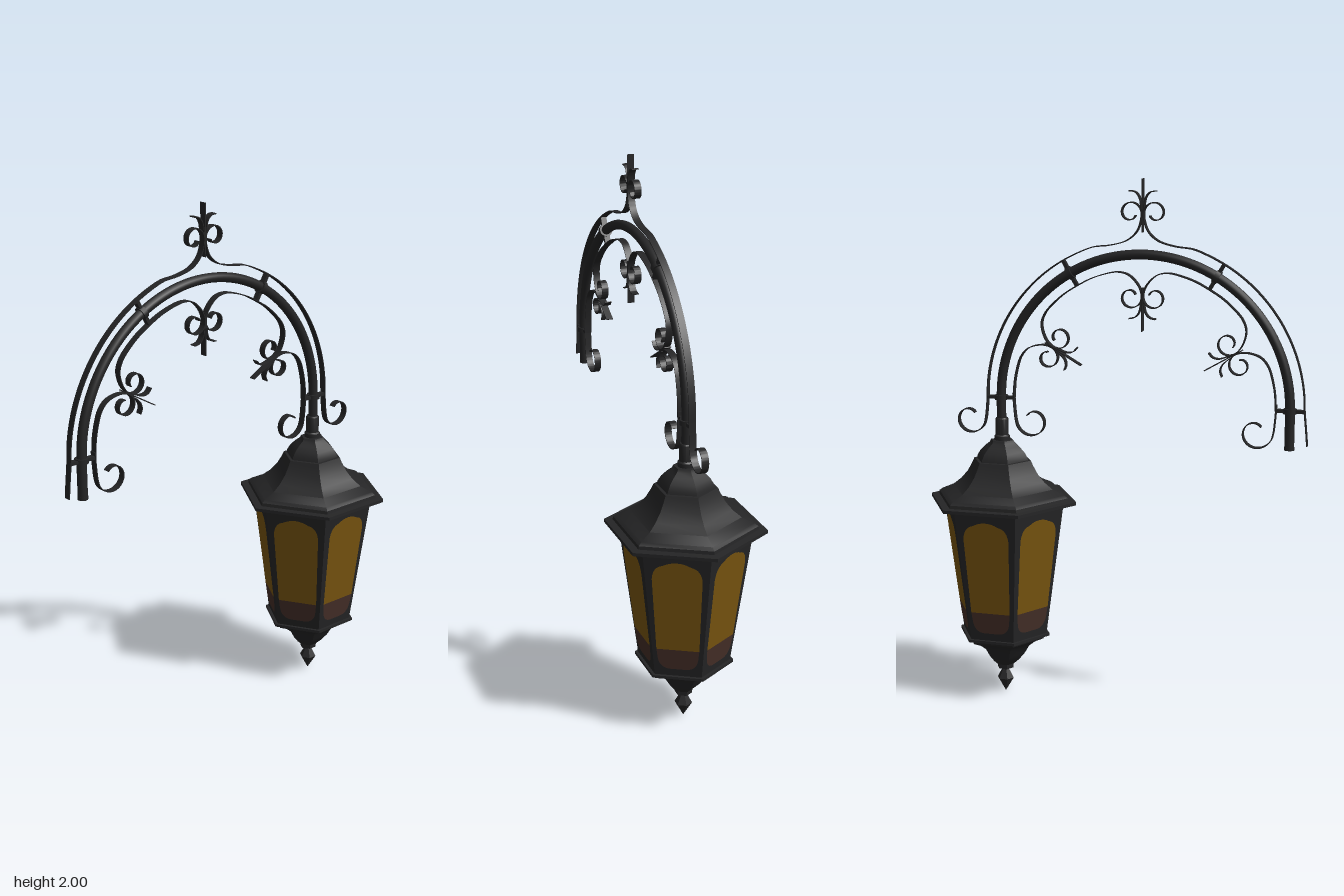
import * as THREE from 'three';
import { toCreasedNormals } from 'three/addons/utils/BufferGeometryUtils.js';

const material = (name, color) => new THREE.MeshStandardMaterial({ name, color });
const V = (x, y) => new THREE.Vector2(x, y);

export function createModel() {
  const iron = material('black iron', 0x252526);
  const amber = material('amber glass', 0x7a5610);
  const brown = material('brown lower glass', 0x452f28);

  const model = new THREE.Group();
  model.name = 'hangingLantern';
  const add = (parent, name, geometry, mat = iron) => {
    const mesh = new THREE.Mesh(geometry, mat);
    mesh.name = name;
    parent.add(mesh);
    return mesh;
  };

  // ---------- Lantern: six-sided parts with corners on the x axis ----------
  const lantern = new THREE.Group();
  lantern.name = 'lantern';
  lantern.position.x = 0.435;
  model.add(lantern);

  const hexLathe = (name, profile) => {
    const g = new THREE.LatheGeometry(profile.map(p => V(...p)), 6, Math.PI / 6);
    return add(lantern, name, toCreasedNormals(g, 0.6));
  };
  hexLathe('finial', [[0, 0.005], [0.012, 0.025], [0.033, 0.06], [0.014, 0.095],
    [0.018, 0.1], [0.032, 0.102], [0.034, 0.122], [0, 0.124]]);
  hexLathe('lowerBowl', [[0, 0.12], [0.036, 0.12], [0.058, 0.14], [0.08, 0.167], [0.098, 0.198],
    [0.122, 0.217], [0.157, 0.233], [0.162, 0.243], [0.182, 0.247], [0.182, 0.257], [0.16, 0.257]]);
  hexLathe('body', [[0.169, 0.25], [0.243, 0.78]]);
  hexLathe('roof', [[0.23, 0.775], [0.293, 0.775], [0.293, 0.787], [0.262, 0.788], [0.26, 0.8],
    [0.246, 0.81], [0.2, 0.83], [0.168, 0.855], [0.142, 0.885], [0.122, 0.92], [0.114, 0.938], [0.09, 0.94]]);
  hexLathe('roofDome', [[0.104, 0.935], [0.1, 0.95], [0.088, 0.97], [0.068, 0.99],
    [0.05, 1.004], [0.045, 1.014], [0, 1.016]]);

  const neck = [[0.03, 1.01], [0.03, 1.03], [0.025, 1.035], [0.025, 1.095], [0.022, 1.1], [0, 1.1]];
  add(lantern, 'neck', toCreasedNormals(
    new THREE.LatheGeometry(neck.map(p => V(...p)), 16), 0.6));

  // Window panes lie on the sloping body faces
  const apothem = y => 0.866 * (0.169 + (0.243 - 0.169) * (y - 0.25) / 0.53);
  const split = 0.37;
  const upper = new THREE.Shape();
  upper.moveTo(-0.077, split);
  upper.lineTo(0.077, split);
  upper.lineTo(0.089, 0.665);
  upper.quadraticCurveTo(0.086, 0.715, 0.05, 0.722);
  upper.quadraticCurveTo(0, 0.75, -0.05, 0.722);
  upper.quadraticCurveTo(-0.086, 0.715, -0.089, 0.665);
  const lower = new THREE.Shape();
  lower.moveTo(0.077, split);
  lower.lineTo(-0.077, split);
  lower.lineTo(-0.073, 0.335);
  lower.quadraticCurveTo(-0.068, 0.29, -0.03, 0.287);
  lower.lineTo(0.03, 0.287);
  lower.quadraticCurveTo(0.068, 0.29, 0.073, 0.335);
  const pane = (shape, k) => {
    const g = new THREE.ShapeGeometry(shape, 8);
    const p = g.attributes.position;
    for (let i = 0; i < p.count; i++) p.setZ(i, apothem(p.getY(i)) + 0.003);
    g.computeVertexNormals();
    return g.rotateY(k * Math.PI / 3);
  };
  for (let k = 0; k < 6; k++) {
    add(lantern, 'windowPane', pane(upper, k), amber);
    add(lantern, 'windowLowerPane', pane(lower, k), brown);
  }

  // ---------- Arched arm, measured from the centre of the arch ----------
  const arm = new THREE.Group();
  arm.name = 'arm';
  arm.position.set(-0.114, 1.178, 0);
  model.add(arm);

  const arc = (cx, cy, r0, r1, a0, a1, n) => Array.from({ length: n + 1 }, (_, i) => {
    const t = i / n, r = r0 + (r1 - r0) * t, a = a0 + (a1 - a0) * t;
    return [cx + r * Math.cos(a), cy + r * Math.sin(a)];
  });
  const R = 0.55;
  const pipePath = new THREE.CatmullRomCurve3(
    [[-R, -0.14], [-R, -0.07], ...arc(0, 0, R, R, Math.PI, 0, 24), [R, -0.05], [R, -0.1]]
      .map(([x, y]) => new THREE.Vector3(x, y, 0)));
  add(arm, 'archPipe', new THREE.TubeGeometry(pipePath, 80, 0.018, 12));
  add(arm, 'pipeEnd', new THREE.CylinderGeometry(0.019, 0.019, 0.012, 12)).position.set(-R, -0.137, 0);

  // Clamps tie the scrollwork to the pipe
  for (const deg of [0, 60, 120, 180]) {
    const clamp = new THREE.Group();
    clamp.name = 'clamp';
    const a = deg * Math.PI / 180;
    clamp.position.set(R * Math.cos(a), R * Math.sin(a), 0);
    clamp.rotation.z = a;
    add(clamp, 'clampRing', new THREE.CylinderGeometry(0.025, 0.025, 0.018, 14));
    add(clamp, 'clampBar', new THREE.BoxGeometry(0.104, 0.012, 0.022));
    arm.add(clamp);
  }

  // Flat strip standing on edge, following a smooth path
  const ribbon = (parent, name, points, mirror = 1, width = 0.026) => {
    const curve = new THREE.CatmullRomCurve3(
      points.map(([x, y]) => new THREE.Vector3(x * mirror, y, 0)), false, 'centripetal');
    const n = points.length * 4, h = 0.0018, left = [], right = [];
    for (let i = 0; i <= n; i++) {
      const p = curve.getPoint(i / n), t = curve.getTangent(i / n);
      left.push(V(p.x - t.y * h, p.y + t.x * h));
      right.push(V(p.x + t.y * h, p.y - t.x * h));
    }
    const g = new THREE.ExtrudeGeometry(new THREE.Shape([...left, ...right.reverse()]),
      { depth: width, bevelEnabled: false });
    g.translate(0, 0, -width / 2);
    return add(parent, name, toCreasedNormals(g, 0.7));
  };

  const PI = Math.PI;
  // Outer strip, rising into the crest scrolls
  const crest = [...arc(0, 0, 0.603, 0.603, PI, PI * 0.6, 12), [-0.125, 0.581], [-0.063, 0.598],
    [-0.025, 0.628], [-0.008, 0.665], ...arc(-0.046, 0.7, 0.042, 0.022, 0, 1.85 * PI, 14)];
  ribbon(arm, 'outerStrip', [[-0.615, -0.125], [-0.609, -0.06], ...crest]);
  const endCurl = [...arc(0.676, -0.085, 0.064, 0.03, PI, 2.75 * PI, 14)];
  ribbon(arm, 'outerStrip', [...[...crest].reverse().map(([x, y]) => [-x, y]),
    [0.606, -0.04], ...endCurl]);
  ribbon(arm, 'crestStem', [[0, 0.63], [0, 0.73], [0, 0.822]]);

  // Inner end curls, one on each side
  for (const s of [1, -1]) {
    ribbon(arm, 'innerCurl', [[-0.5, 0.02], [-0.497, -0.03],
      ...arc(-0.425, -0.085, 0.066, 0.03, PI, 2.75 * PI, 14)], s);
    ribbon(arm, 'crestLeaf', [[0.003, 0.7], [0.012, 0.755], [0.028, 0.774], [0.05, 0.778]], s);
  }

  // Three pendants of mirrored scrolls between the clamps
  for (const deg of [-60, 0, 60]) {
    const pendant = new THREE.Group();
    pendant.name = 'pendant';
    pendant.rotation.z = deg * PI / 180;
    for (const s of [1, -1]) {
      ribbon(pendant, 'pendantScroll', [[0.249, 0.43], [0.2, 0.456], [0.143, 0.476], [0.095, 0.485],
        [0.055, 0.477], [0.022, 0.448], [0.006, 0.42],
        ...arc(0.045, 0.394, 0.043, 0.022, PI, 2.85 * PI, 14)], s);
      ribbon(pendant, 'pendantLeaf', [[0.003, 0.39], [0.012, 0.34], [0.028, 0.321], [0.05, 0.316]], s);
    }
    ribbon(pendant, 'pendantStem', [[0, 0.43], [0, 0.35], [0, 0.27]]);
    arm.add(pendant);
  }
  return model;
}
